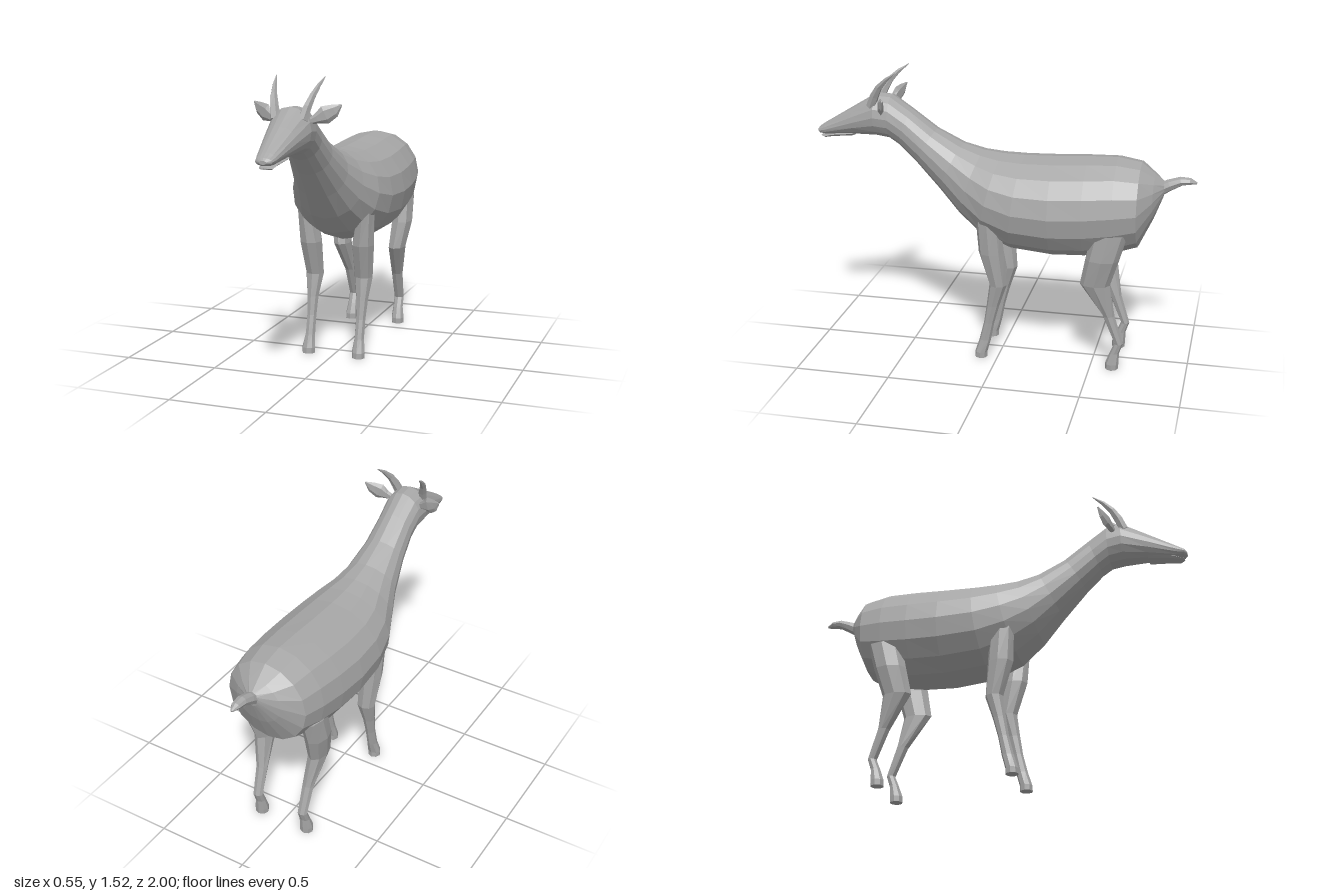
import * as THREE from 'three';

const V = (x, y, z) => new THREE.Vector3(x, y, z);
const hide = new THREE.MeshStandardMaterial({ color: 0xa6a6a6, flatShading: true });
hide.name = 'grey hide';

// Skins elliptical rings {c, a, b} (a x b points along the loft) and closes both ends.
function loft(name, rings, sides) {
  const pos = [];
  const at = (r, j) => {
    const t = (j / sides) * Math.PI * 2;
    return r.c.clone().addScaledVector(r.a, Math.cos(t)).addScaledVector(r.b, Math.sin(t));
  };
  const tri = (...pts) => pts.forEach((p) => pos.push(p.x, p.y, p.z));
  const last = rings[rings.length - 1];
  for (let j = 0; j < sides; j++) {
    for (let i = 0; i < rings.length - 1; i++) {
      const p = at(rings[i], j), q = at(rings[i], j + 1);
      const r = at(rings[i + 1], j + 1), s = at(rings[i + 1], j);
      tri(p, q, r);
      tri(p, r, s);
    }
    tri(rings[0].c, at(rings[0], j + 1), at(rings[0], j));
    tri(last.c, at(last, j), at(last, j + 1));
  }
  const geo = new THREE.BufferGeometry();
  geo.setAttribute('position', new THREE.Float32BufferAttribute(pos, 3));
  geo.computeVertexNormals();
  const mesh = new THREE.Mesh(geo, hide);
  mesh.name = name;
  return mesh;
}

// Upright ring given by its top and bottom points in the middle plane and its half width.
const bodyRing = ([zt, yt, zb, yb, w]) => ({
  c: V(0, (yt + yb) / 2, (zt + zb) / 2),
  a: V(w, 0, 0),
  b: V(0, (yt - yb) / 2, (zt - zb) / 2),
});

// Level leg ring: height, x centre, half width, front z and back z.
const legRing = (s) => ([y, x, w, zf, zb]) => ({
  c: V(s * x, y, (zf + zb) / 2),
  a: V(0, 0, (zf - zb) / 2),
  b: V(w, 0, 0),
});

// Tapered limb along points [x, y, z, ra, rb], with ra measured along the side vector.
function limb(name, pts, side, sides) {
  const c = pts.map((p) => V(p[0], p[1], p[2]));
  return loft(name, pts.map((p, i) => {
    const d = c[Math.min(i + 1, c.length - 1)].clone().sub(c[Math.max(i - 1, 0)]).normalize();
    const b = d.clone().cross(side).normalize();
    const a = b.clone().cross(d);
    return { c: c[i], a: a.multiplyScalar(p[3]), b: b.multiplyScalar(p[4]) };
  }), sides);
}

export function createModel() {
  const g = new THREE.Group();
  g.name = 'hornedGrazer';

  // Rump, barrel, neck and head in one skin, from tail to nose
  const body = [
    [-0.845, 0.995, -0.835, 0.92, 0.03],
    [-0.79, 1.04, -0.79, 0.80, 0.125],
    [-0.72, 1.095, -0.72, 0.65, 0.222],
    [-0.6, 1.115, -0.6, 0.61, 0.25],
    [-0.45, 1.11, -0.45, 0.587, 0.268],
    [-0.28, 1.1, -0.28, 0.58, 0.277],
    [-0.12, 1.095, -0.06, 0.6, 0.268],
    [0.0, 1.098, 0.1, 0.665, 0.24],
    [0.1, 1.11, 0.22, 0.765, 0.19],
    [0.21, 1.14, 0.33, 0.89, 0.145],
    [0.35, 1.21, 0.46, 1.03, 0.112],
    [0.48, 1.305, 0.55, 1.115, 0.1],
    [0.59, 1.38, 0.6, 1.148, 0.103],
    [0.67, 1.385, 0.67, 1.158, 0.107],
    [0.8, 1.307, 0.79, 1.158, 0.083],
    [0.96, 1.21, 0.95, 1.147, 0.051],
    [0.99, 1.19, 0.985, 1.152, 0.042],
    [1.0, 1.178, 1.0, 1.16, 0.018],
  ];
  g.add(loft('body', body.map(bodyRing), 16));

  // Lower jaw
  g.add(loft('lowerJaw', [
    [0.8, 1.18, 0.8, 1.15, 0.05],
    [0.92, 1.165, 0.92, 1.137, 0.042],
    [0.965, 1.145, 0.96, 1.13, 0.035],
    [0.985, 1.143, 0.985, 1.135, 0.015],
  ].map(bodyRing), 8));

  // Short upturned tail
  g.add(limb('tail', [
    [0, 0.95, -0.8, 0.034, 0.035],
    [0, 0.985, -0.865, 0.033, 0.03],
    [0, 1.008, -0.92, 0.03, 0.024],
    [0, 1.01, -0.965, 0.025, 0.018],
    [0, 1.002, -1.0, 0.006, 0.006],
  ], V(1, 0, 0), 8));

  const frontLeg = [
    [0.0, 0.14, 0.035, 0.122, 0.055],
    [0.03, 0.14, 0.036, 0.12, 0.055],
    [0.1, 0.138, 0.026, 0.098, 0.036],
    [0.2, 0.138, 0.026, 0.073, 0.017],
    [0.3, 0.139, 0.032, 0.058, -0.01],
    [0.42, 0.137, 0.05, 0.043, -0.05],
    [0.6, 0.145, 0.06, 0.098, -0.037],
    [0.78, 0.165, 0.045, 0.108, -0.02],
  ];
  const hindLeg = [
    [0.0, 0.14, 0.035, -0.58, -0.648],
    [0.03, 0.14, 0.036, -0.58, -0.65],
    [0.09, 0.138, 0.028, -0.602, -0.652],
    [0.145, 0.138, 0.027, -0.625, -0.67],
    [0.3, 0.142, 0.032, -0.56, -0.622],
    [0.475, 0.163, 0.047, -0.44, -0.595],
    [0.62, 0.18, 0.058, -0.468, -0.64],
    [0.76, 0.18, 0.055, -0.498, -0.68],
  ];
  for (const s of [1, -1]) {
    const side = s > 0 ? 'left' : 'right';
    g.add(loft(side + 'FrontLeg', frontLeg.map(legRing(s)), 8));
    g.add(loft(side + 'HindLeg', hindLeg.map(legRing(s)), 8));

    // Leaf-shaped ear, flat from front to back
    g.add(limb(side + 'Ear', [
      [s * 0.085, 1.315, 0.63, 0.016, 0.014],
      [s * 0.115, 1.328, 0.62, 0.025, 0.016],
      [s * 0.15, 1.345, 0.607, 0.044, 0.017],
      [s * 0.19, 1.365, 0.592, 0.032, 0.011],
      [s * 0.222, 1.392, 0.577, 0.004, 0.003],
    ], V(0, 1, 0), 6));

    // Horn sweeping up, out and back
    g.add(limb(side + 'Horn', [
      [s * 0.068, 1.325, 0.685, 0.026, 0.026],
      [s * 0.083, 1.385, 0.66, 0.021, 0.024],
      [s * 0.098, 1.435, 0.63, 0.016, 0.018],
      [s * 0.112, 1.48, 0.585, 0.01, 0.011],
      [s * 0.124, 1.517, 0.533, 0.002, 0.002],
    ], V(1, 0, 0), 6));
  }
  return g;
}
